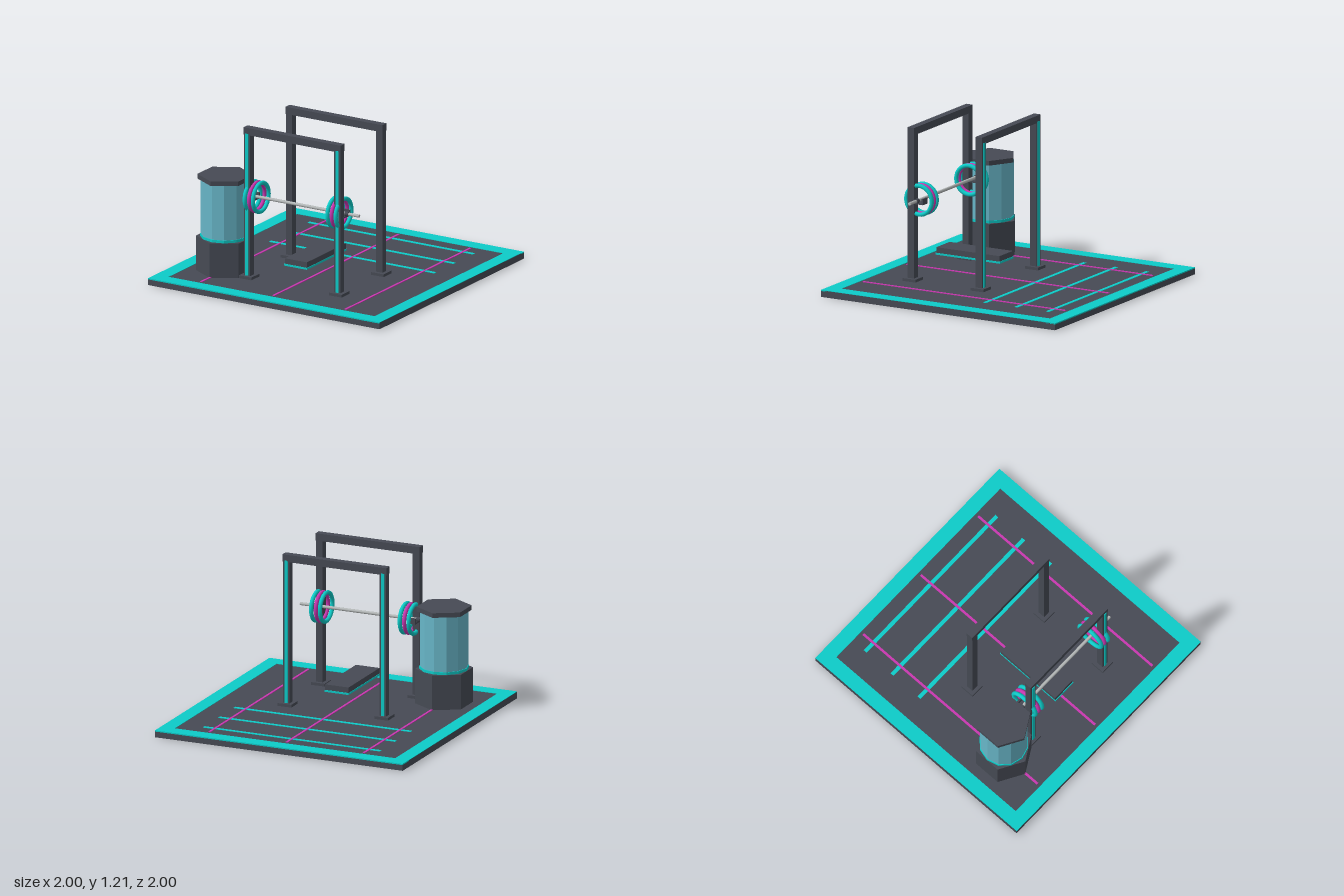
import * as THREE from 'three';

const mat = (name, color, extra = {}) => {
  const m = new THREE.MeshStandardMaterial({ color, ...extra });
  m.name = name;
  return m;
};

export function createModel() {
  const dark = mat('charcoal', 0x464a54);
  const teal = mat('teal', 0x0dcbc8);
  const pink = mat('magenta', 0xc837b0);
  const steel = mat('steel', 0xb4b8b8);
  const glass = mat('tank blue', 0x68b6c8);
  for (const m of [dark, teal, pink, glass]) m.flatShading = false;

  const root = new THREE.Group();
  root.name = 'gymPlatform';

  const add = (parent, name, geo, material, x, y, z) => {
    const mesh = new THREE.Mesh(geo, material);
    mesh.name = name;
    mesh.position.set(x, y, z);
    parent.add(mesh);
    return mesh;
  };
  const box = (parent, name, material, w, h, d, x, y, z) =>
    add(parent, name, new THREE.BoxGeometry(w, h, d), material, x, y, z);
  const prism = (parent, name, material, r, sides, y0, y1) => {
    const geo = new THREE.CylinderGeometry(r, r, y1 - y0, sides).toNonIndexed();
    geo.computeVertexNormals(); // faceted sides
    return add(parent, name, geo, material, 0, (y0 + y1) / 2, 0);
  };

  // Platform with a teal border and floor lines
  box(root, 'platform', dark, 2, 0.05, 1.996, 0, 0.025, 0);
  for (const s of [-1, 1]) {
    box(root, 'borderEnd', teal, 2, 0.009, 0.11, 0, 0.0485, s * 0.945);
    box(root, 'borderSide', teal, 0.11, 0.003, 1.78, s * 0.945, 0.0515, 0);
  }
  for (const z of [-0.765, -0.498, -0.23])
    box(root, 'crossLine', teal, 1.43, 0.003, 0.03, 0, 0.0515, z);
  for (const x of [-0.625, 0, 0.622])
    box(root, 'longLine', pink, 0.018, 0.005, 1.73, x, 0.0525, 0);

  // Two upright frames, light strips facing outward
  for (const [name, z, out] of [['frontFrame', 0.58, 1], ['backFrame', 0, -1]]) {
    const frame = new THREE.Group();
    frame.name = name;
    frame.position.z = z;
    root.add(frame);
    box(frame, 'topBeam', dark, 0.84, 0.055, 0.056, 0, 1.18, 0);
    for (const s of [-1, 1]) {
      box(frame, 'post', dark, 0.054, 1.11, 0.054, s * 0.39, 0.6, 0);
      box(frame, 'footPlate', dark, 0.11, 0.022, 0.11, s * 0.39, 0.06, 0);
      box(frame, 'lightStrip', teal, 0.026, 1.09, 0.006, s * 0.39, 0.617, out * 0.029);
    }
  }

  // Bench between the frames
  box(root, 'benchPad', dark, 0.19, 0.042, 0.54, 0, 0.219, 0.285);
  box(root, 'benchTrim', teal, 0.196, 0.014, 0.55, 0, 0.191, 0.285);

  // Hooks holding the bar
  for (const s of [-1, 1]) {
    box(root, 'hookArm', dark, 0.06, 0.012, 0.085, s * 0.39, 0.641, 0.518);
    box(root, 'hookLip', dark, 0.06, 0.045, 0.012, s * 0.39, 0.658, 0.48);
  }

  // Barbell with ring weights
  const barbell = new THREE.Group();
  barbell.name = 'barbell';
  barbell.position.set(0, 0.662, 0.525);
  root.add(barbell);
  const bar = add(barbell, 'bar', new THREE.CylinderGeometry(0.012, 0.012, 0.975, 12), steel, 0.043, 0, 0);
  bar.rotation.z = Math.PI / 2;
  const rings = [[0.322, teal, 0.109, 0.016], [0.357, pink, 0.107, 0.015], [0.393, teal, 0.109, 0.016]];
  for (const s of [-1, 1]) {
    for (const [x, material, r, tube] of rings) {
      const ring = add(barbell, 'ringWeight', new THREE.TorusGeometry(r, tube, 10, 32), material, s * x, 0, 0);
      ring.rotation.y = Math.PI / 2;
    }
    const collar = add(barbell, 'collar', new THREE.CylinderGeometry(0.018, 0.018, 0.03, 12), dark, s * 0.425, 0, 0);
    collar.rotation.z = Math.PI / 2;
  }

  // Tank on a hexagonal base
  const tank = new THREE.Group();
  tank.name = 'tank';
  tank.position.set(-0.627, 0, 0.532);
  root.add(tank);
  prism(tank, 'tankBase', dark, 0.213, 6, 0.05, 0.315);
  prism(tank, 'tankRing', teal, 0.183, 12, 0.315, 0.335);
  prism(tank, 'tankGlass', glass, 0.178, 12, 0.335, 0.755);
  prism(tank, 'tankCap', dark, 0.203, 6, 0.755, 0.79);

  return root;
}
